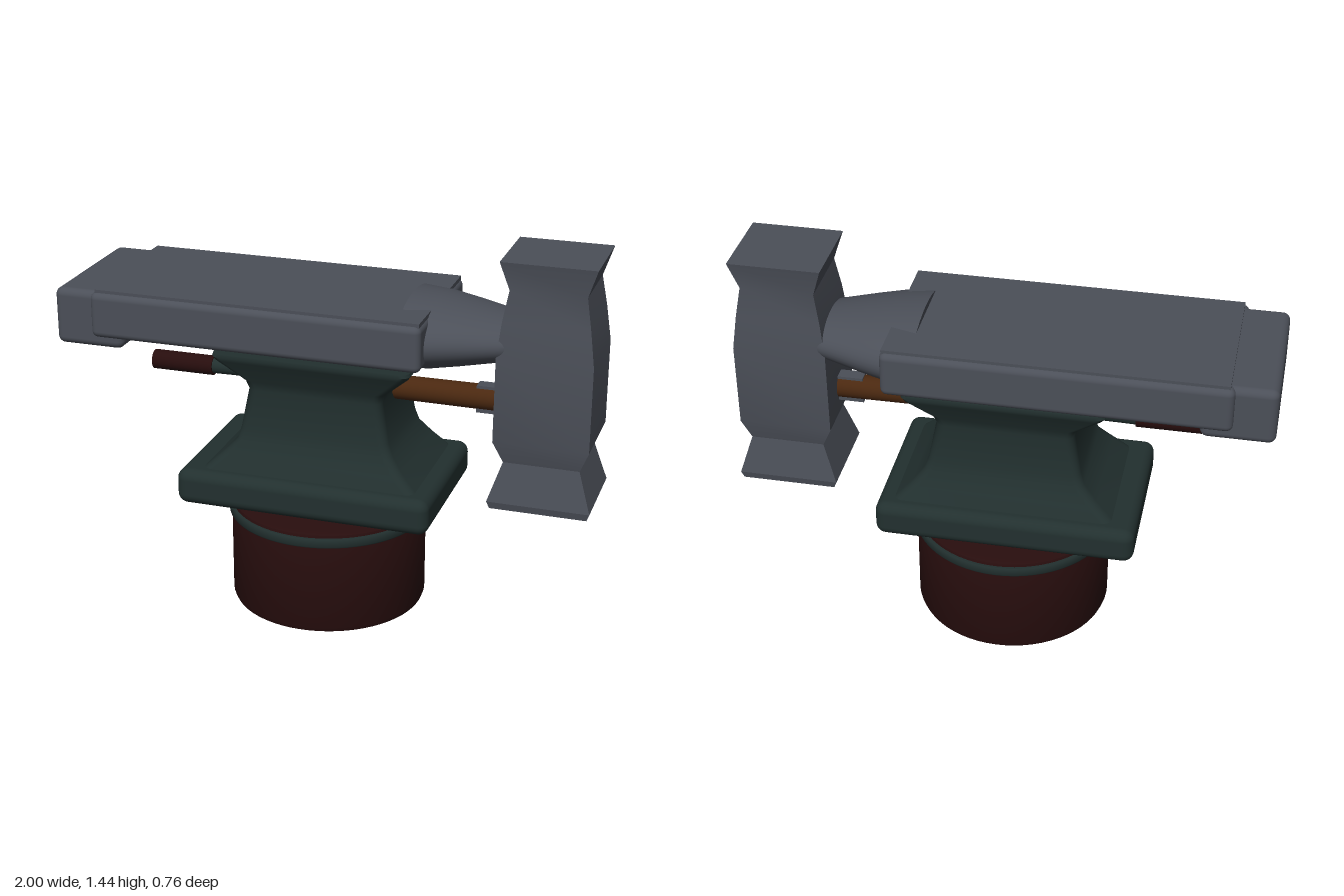
import * as THREE from 'three';
import { toCreasedNormals } from 'three/addons/utils/BufferGeometryUtils.js';
import { RoundedBoxGeometry } from 'three/addons/geometries/RoundedBoxGeometry.js';

// Stack of rounded-rectangle sections: [y, xMin, xMax, half depth]
function loft(sections, radius, steps, crease) {
  const pos = [], idx = [];
  const corners = [[1, 1], [-1, 1], [-1, -1], [1, -1]];
  const n = 4 * (steps + 1);
  for (const [y, x0, x1, hz] of sections) {
    const cx = (x0 + x1) / 2, hx = (x1 - x0) / 2;
    corners.forEach(([sx, sz], q) => {
      for (let s = 0; s <= steps; s++) {
        const a = (q + (steps ? s / steps : 0.5)) * Math.PI / 2;
        pos.push(cx + sx * (hx - radius) + radius * Math.cos(a), y,
          sz * (hz - radius) + radius * Math.sin(a));
      }
    });
  }
  for (let r = 0; r < sections.length - 1; r++) {
    for (let i = 0; i < n; i++) {
      const a = r * n + i, b = r * n + (i + 1) % n;
      idx.push(a, a + n, b + n, a, b + n, b);
    }
  }
  // End caps as fans
  const top = (sections.length - 1) * n;
  for (let i = 1; i < n - 1; i++) {
    idx.push(0, i, i + 1, top, top + i + 1, top + i);
  }
  const g = new THREE.BufferGeometry();
  g.setAttribute('position', new THREE.Float32BufferAttribute(pos, 3));
  g.setIndex(idx);
  return toCreasedNormals(g, crease);
}

// Turned shape from [radius, height] pairs
function turned(points, sides = 64) {
  const g = new THREE.LatheGeometry(points.map(p => new THREE.Vector2(...p)), sides);
  return toCreasedNormals(g, 0.6);
}

export function createModel() {
  const model = new THREE.Group();
  model.name = 'anvilAndHammer';
  const material = (name, color) => {
    const m = new THREE.MeshStandardMaterial({ color });
    m.name = name;
    return m;
  };
  const steel = material('steelGrey', 0x4b4f58);
  const iron = material('darkGreenIron', 0x22302f);
  const maroon = material('darkMaroon', 0x270d0d);
  const wood = material('brownWood', 0x4a2810);

  const add = (name, geometry, mat, x = 0, y = 0, z = 0) => {
    const mesh = new THREE.Mesh(geometry, mat);
    mesh.name = name;
    mesh.position.set(x, y, z);
    model.add(mesh);
    return mesh;
  };
  // Rounded box given by its limits, centred on z = 0
  const block = (name, mat, x0, x1, y0, y1, depth, radius) =>
    add(name, new RoundedBoxGeometry(x1 - x0, y1 - y0, depth, 4, radius), mat,
      (x0 + x1) / 2, (y0 + y1) / 2);
  // Round bar along x
  const bar = (name, mat, x0, x1, y, r0, r1 = r0) =>
    add(name, new THREE.CylinderGeometry(r1, r0, x1 - x0, 32).rotateZ(-Math.PI / 2), mat,
      (x0 + x1) / 2, y);

  // Round stump with an iron band
  add('stump', turned([[0, 0], [0.345, 0], [0.363, 0.007], [0.37, 0.025], [0.37, 0.385],
    [0.363, 0.401], [0.35, 0.408], [0, 0.408]]), maroon, -0.03);
  add('stumpBand', turned([[0.366, 0.357], [0.377, 0.357], [0.38, 0.362], [0.38, 0.387],
    [0.377, 0.392], [0.366, 0.392], [0.366, 0.357]]), iron, -0.03);

  // Iron foot and flared waist
  block('foot', iron, -0.53, 0.44, 0.428, 0.565, 0.632, 0.04);
  add('waist', loft([
    [0.555, -0.45, 0.385, 0.268],
    [0.62, -0.378, 0.317, 0.24],
    [0.675, -0.325, 0.272, 0.213],
    [0.72, -0.312, 0.256, 0.207],
    [0.87, -0.285, 0.228, 0.19],
    [0.905, -0.297, 0.24, 0.198],
    [0.99, -0.395, 0.335, 0.244],
    [1.005, -0.405, 0.345, 0.25],
    [1.017, -0.402, 0.342, 0.248],
  ], 0.035, 5, 0.75), iron);

  // Anvil body, top plate, heel and horn
  block('body', steel, -0.85, 0.4, 1.048, 1.22, 0.61, 0.025);
  add('topPlate', new THREE.BoxGeometry(1.225, 0.016, 0.576), steel, -0.22, 1.222);
  block('heel', steel, -1, -0.735, 1.003, 1.218, 0.565, 0.028);
  const horn = turned([[0, 0.295], [0.134, 0.295], [0.126, 0.4], [0.11, 0.5],
    [0.084, 0.645], [0.06, 0.75], [0, 0.75]], 48);
  horn.rotateZ(-Math.PI / 2);
  horn.scale(1, 1, 2);
  horn.computeVertexNormals();
  add('horn', toCreasedNormals(horn, 0.6), steel, 0, 1.121);

  // Hammer head with waisted ends
  add('hammerHead', loft([
    [0.513, 0.633, 0.988, 0.164],
    [0.54, 0.622, 0.998, 0.17],
    [0.69, 0.672, 0.95, 0.141],
    [0.77, 0.635, 0.983, 0.16],
    [1.09, 0.637, 0.983, 0.161],
    [1.22, 0.652, 0.965, 0.151],
    [1.335, 0.672, 0.945, 0.138],
    [1.44, 0.638, 0.98, 0.158],
  ], 0, 0, 0.35), steel);

  // Handle running through the waist to the grip
  bar('handle', wood, 0, 0.7, 0.875, 0.044, 0.047);
  add('handleCollar', new THREE.BoxGeometry(0.12, 0.104, 0.05), steel, 0.6, 0.873);
  bar('handleRod', iron, -0.5, 0, 0.875, 0.031, 0.024);
  bar('grip', maroon, -0.73, -0.487, 0.873, 0.037);
  return model;
}
